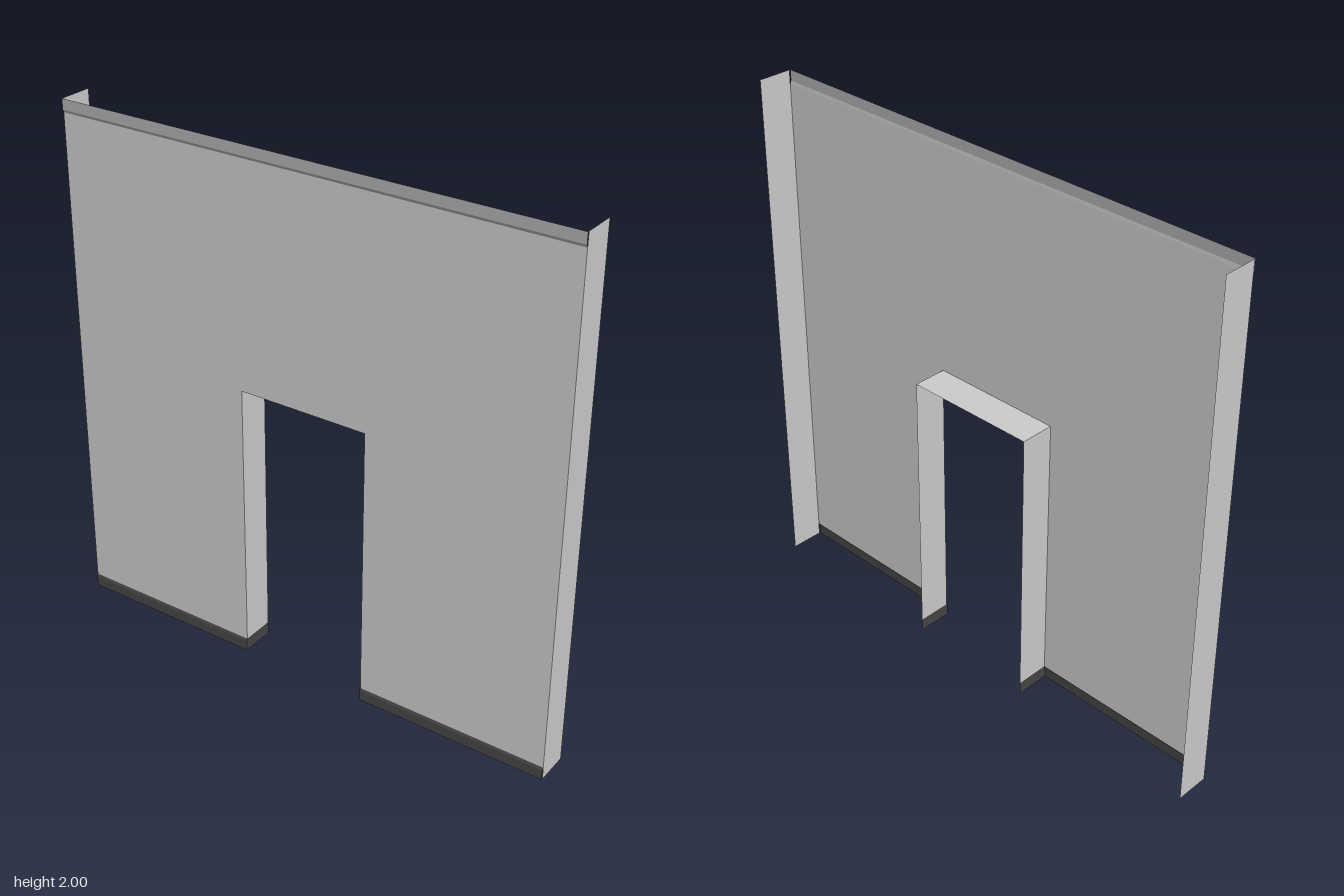
import * as THREE from 'three';

const material = (color) => new THREE.MeshStandardMaterial({ color, side: THREE.DoubleSide, flatShading: true });

export function createModel() {
  const group = new THREE.Group();
  const grey = material(0xcccccc), trim = material(0xafafaf), dark = material(0x454545);
  const face = 0.063, lip = 0.067, back = -0.067; // z of wall, trim and rear edges
  const door = 0.255, doorTop = 1.1, band = 0.05;

  const add = (name, geometry, mat) => {
    const mesh = new THREE.Mesh(geometry, mat);
    mesh.name = name;
    group.add(mesh);
  };

  // Sheet swept along x through a [y, z] profile, listed from top to bottom
  const strip = (x0, x1, profile) => {
    const geometry = new THREE.PlaneGeometry(1, 1, 1, profile.length - 1);
    const pos = geometry.attributes.position;
    profile.forEach(([y, z], i) => {
      pos.setXYZ(2 * i, x0, y, z);
      pos.setXYZ(2 * i + 1, x1, y, z);
    });
    geometry.computeVertexNormals();
    return geometry;
  };

  // Upright sheet across the wall's depth, facing +x or -x
  const upright = (x, y0, y1, front, dir) =>
    new THREE.PlaneGeometry(front - back, y1 - y0)
      .rotateY(dir * Math.PI / 2)
      .translate(x, (y0 + y1) / 2, (front + back) / 2);

  // Wall face with the doorway cut out
  const outline = new THREE.Shape([
    [-1, band], [-door, band], [-door, doorTop], [door, doorTop],
    [door, band], [1, band], [1, 2 - band], [-1, 2 - band],
  ].map(([x, y]) => new THREE.Vector2(x, y)));
  add('wallFace', new THREE.ShapeGeometry(outline).translate(0, 0, face), grey);

  // Slightly raised trim along the top
  add('topTrim', strip(-1, 1, [[2, lip], [1.96, lip], [2 - band, face]]), trim);

  // Underside of the door opening
  add('doorLintel', strip(-door, door, [[doorTop, face], [doorTop, back]]), grey);

  for (const [side, s] of [['left', 1], ['right', -1]]) {
    add(side + 'WallEnd', upright(s, 0, 2, face, s), grey);
    add(side + 'DoorJamb', upright(s * door, band, doorTop, face, -s), grey);

    // Dark skirting that turns into the doorway
    const [x0, x1] = s > 0 ? [door, 1] : [-1, -door];
    add(side + 'Skirting', strip(x0, x1, [[band, face], [0.04, lip], [0, lip]]), dark);
    add(side + 'JambSkirting', upright(s * door, 0, band, lip, -s), dark);
  }
  return group;
}
